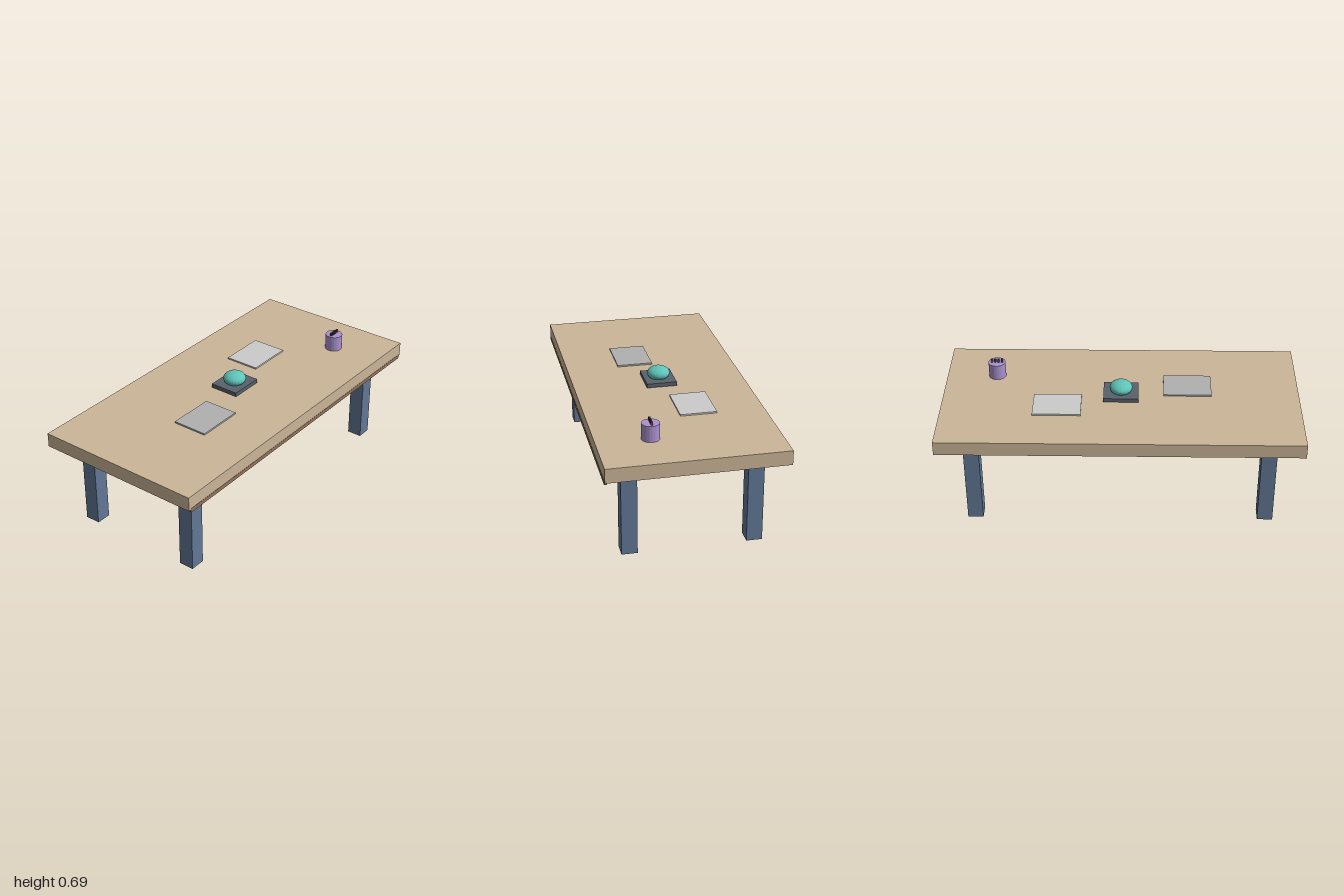
import * as THREE from 'three';

const material = (color) => new THREE.MeshStandardMaterial({ color, flatShading: true });

function add(parent, name, geometry, color, x, y, z) {
  const mesh = new THREE.Mesh(geometry, material(color));
  mesh.name = name;
  mesh.position.set(x, y, z);
  parent.add(mesh);
  return mesh;
}

const box = (w, h, d) => new THREE.BoxGeometry(w, h, d);

export function createModel() {
  const model = new THREE.Group();
  model.name = 'table';

  // Table top with a thin rail under its front edge
  add(model, 'tableTop', box(2, 0.08, 0.965), 0xccb699, 0, 0.544, 0);
  add(model, 'frontRail', box(1.97, 0.023, 0.016), 0x927259, 0, 0.5005, 0.476);

  // Four square legs
  for (const x of [-0.815, 0.815]) {
    for (const z of [-0.336, 0.336]) {
      add(model, 'leg', box(0.086, 0.5, 0.086), 0x637896, x, 0.25, z);
    }
  }

  // Centrepiece: a flattened ball on a square base
  const centrepiece = new THREE.Group();
  centrepiece.name = 'centrepiece';
  add(centrepiece, 'centrepieceBase', box(0.196, 0.023, 0.17), 0x59616c, 0, 0.6, 0);
  const ball = add(centrepiece, 'centrepieceBall', new THREE.SphereGeometry(0.064, 24, 16), 0x5fc4b9, 0, 0.635, 0);
  ball.scale.y = 0.6;
  model.add(centrepiece);

  // Two thin sheets lying on the table
  add(model, 'greySheet', box(0.27, 0.009, 0.202), 0xb0b0b0, -0.374, 0.5895, 0.088);
  add(model, 'paleSheet', box(0.268, 0.009, 0.202), 0xdadada, 0.354, 0.5895, -0.116);

  // Pen cup with a row of four pens
  const penCup = new THREE.Group();
  penCup.name = 'penCup';
  penCup.position.set(0.713, 0.584, 0.193);
  add(penCup, 'cup', new THREE.CylinderGeometry(0.049, 0.049, 0.09, 20), 0xab92cf, 0, 0.045, 0);
  [0x444444, 0x444444, 0x444444, 0xa04a55].forEach((color, i) => {
    add(penCup, 'pen', box(0.011, 0.06, 0.011), color, (i - 1.5) * 0.019, 0.078, 0);
  });
  model.add(penCup);

  return model;
}
